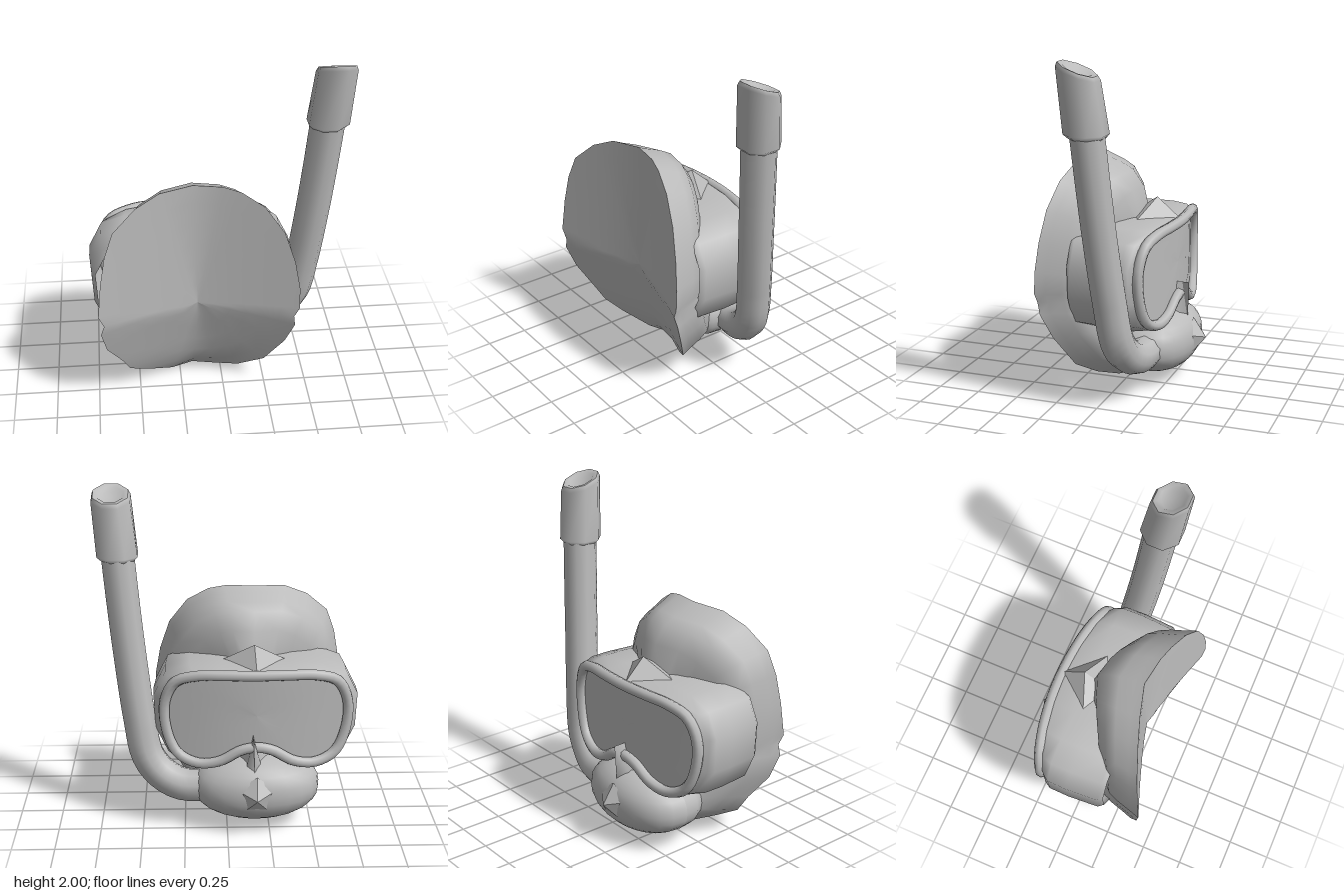
import * as THREE from 'three';

const grey = new THREE.MeshStandardMaterial({ color: 0xbbbbbb, side: THREE.DoubleSide });
grey.name = 'grey rubber';

// Skin a list of equal-length closed rings of [x, y, z] points
function loft(rings) {
  const n = rings[0].length, index = [];
  for (let r = 0; r < rings.length - 1; r++) {
    for (let i = 0; i < n; i++) {
      const a = r * n + i, b = r * n + (i + 1) % n;
      index.push(a, b, a + n, b, b + n, a + n);
    }
  }
  const g = new THREE.BufferGeometry();
  g.setAttribute('position', new THREE.Float32BufferAttribute(rings.flat(2), 3));
  g.setIndex(index);
  g.computeVertexNormals();
  return g;
}

// Piecewise-linear lookup in a list of [key, value]
function lookup(table, k) {
  for (let i = 1; i < table.length; i++) {
    const [k0, v0] = table[i - 1], [k1, v1] = table[i];
    if (k <= k1) return v0 + (v1 - v0) * Math.max(0, (k - k0) / (k1 - k0));
  }
  return table[table.length - 1][1];
}

export function createModel() {
  const model = new THREE.Group();
  const add = (name, geometry) => {
    const mesh = new THREE.Mesh(geometry, grey);
    mesh.name = name;
    model.add(mesh);
    return mesh;
  };

  // Outline of the face seal
  const rim = [
    [-0.17, 1.36], [0, 1.355], [0.1, 1.33], [0.23, 1.25], [0.34, 1.1], [0.4, 0.92], [0.43, 0.75],
    [0.43, 0.62], [0.4, 0.56], [0.41, 0.49], [0.36, 0.34], [0.25, 0.15], [0.1, 0.06], [-0.03, 0.01],
    [-0.17, 0], [-0.3, 0.02], [-0.45, 0.09], [-0.56, 0.15], [-0.6, 0.24], [-0.69, 0.38], [-0.72, 0.52],
    [-0.7, 0.58], [-0.73, 0.65], [-0.71, 0.85], [-0.68, 1.02], [-0.63, 1.16], [-0.5, 1.28], [-0.36, 1.345],
  ];
  const cx = -0.15, cy = 0.6;
  const middle = [[0, 0.01], [0.03, 0.08], [0.2, 0.155], [0.56, 0.26], [1.36, 0.23]];
  // Saddle-shaped depth: hollow in the middle, swept forward at both sides
  const faceZ = (x, y) => {
    const u = (x - cx) / 0.575;
    return lookup(middle, y) + (u < 0 ? 0.185 : 0.15) * Math.abs(u) ** 1.2;
  };
  add('faceSeal', loft([1, 0.85, 0.68, 0.5, 0.33, 0.16, 0].map((s) => rim.map(([x, y]) => {
    const px = cx + (x - cx) * s, py = cy + (y - cy) * s;
    return [px, py, faceZ(px, py)];
  }))));

  // Skirt bulging back from the seal
  const skirt = [[1, 0], [0.965, 0.06], [0.92, 0.15], [0.87, 0.22], [0.74, 0.29], [0.4, 0.35], [0, 0.36]];
  add('skirt', loft(skirt.map(([s, d]) => rim.map(([x, y]) =>
    [cx + (x - cx) * s, cy + (y - cy) * s, faceZ(x, y) - d]))));

  // Goggle outline with a nose arch, mirrored about its centre line
  const mx = -0.17, my = 0.72;
  const half = [[0, 1.0], [0.2, 1.0], [0.38, 0.99], [0.52, 0.94], [0.59, 0.8], [0.58, 0.6],
    [0.51, 0.45], [0.38, 0.39], [0.24, 0.41], [0.1, 0.49], [0, 0.51]];
  const outline = [...half, ...half.slice(1, -1).reverse().map(([x, y]) => [-x, y])];
  const lensZ = (dx) => -0.285 + 0.1 * (dx / 0.58) ** 2;
  const goggleRing = (s, z) => outline.map(([x, y]) =>
    [mx + x * s, my + (y - my) * s, typeof z === 'number' ? z : z(x * s)]);

  add('goggleBody', loft([
    goggleRing(0.96, 0.22), goggleRing(1, 0.19), goggleRing(1.02, 0), goggleRing(1.015, -0.12),
    goggleRing(0.98, (x) => lensZ(x) + 0.035), goggleRing(0.9, (x) => lensZ(x) + 0.005),
  ]));
  add('lens', loft([0.9, 0.6, 0.3, 0].map((s) => goggleRing(s, (x) => lensZ(x) + 0.015))));
  const rimCurve = new THREE.CatmullRomCurve3(
    goggleRing(0.9, lensZ).map((p) => new THREE.Vector3(...p)), true);
  add('lensRim', new THREE.TubeGeometry(rimCurve, 80, 0.032, 8, true));

  // Pointed ridge over the top of the goggle
  const peak = [[-0.38, 0.98, -0.06], [mx, 0.97, -0.3], [0.06, 0.98, -0.06], [mx, 0.98, 0.05]];
  add('browPeak', loft([peak, peak.map(() => [mx + 0.01, 1.11, -0.14])]).toNonIndexed())
    .geometry.computeVertexNormals();

  // Rounded mouthpiece housing below the goggle
  const housing = new THREE.SphereGeometry(1, 24, 16);
  const p = housing.attributes.position;
  const swell = (v, e) => Math.sign(v) * Math.abs(v) ** e;
  for (let i = 0; i < p.count; i++) {
    p.setXYZ(i, mx + 0.38 * p.getX(i), 0.25 + 0.2 * swell(p.getY(i), 0.9), -0.13 + 0.27 * swell(p.getZ(i), 0.8));
  }
  housing.computeVertexNormals();
  add('mouthpieceHousing', housing);

  // Faceted valve point
  const valve = new THREE.ConeGeometry(0.12, 0.08, 5).toNonIndexed();
  valve.computeVertexNormals();
  valve.rotateX(-Math.PI / 2);
  add('valve', valve).position.set(mx, 0.26, -0.41);

  // Breathing tube
  const path = new THREE.CatmullRomCurve3([
    [0.08, 0.25, -0.18], [0.27, 0.25, -0.16], [0.39, 0.31, -0.13], [0.47, 0.42, -0.11], [0.515, 0.65, -0.085],
    [0.56, 1.0, -0.05], [0.592, 1.3, -0.025], [0.622, 1.62, 0],
  ].map((v) => new THREE.Vector3(...v)));
  add('snorkelTube', new THREE.TubeGeometry(path, 36, 0.1, 10, false));

  // Sleeve with a slanted, dished top
  const circle = (x, y, z, r, slope) => Array.from({ length: 8 }, (_, i) => {
    const a = (i + 0.5) * Math.PI / 4;
    return [x + r * Math.cos(a), y + slope * r * Math.sin(a), z + r * Math.sin(a)];
  });
  add('snorkelSleeve', loft([
    circle(0.62, 1.585, 0, 0.1, 0), circle(0.622, 1.61, 0.003, 0.126, 0),
    circle(0.653, 1.935, 0.034, 0.12, 0.35), circle(0.655, 1.96, 0.036, 0.108, 0.38),
  ]));
  add('snorkelTop', loft([
    circle(0.655, 1.96, 0.036, 0.108, 0.38), circle(0.655, 1.955, 0.036, 0.08, 0.38),
    circle(0.655, 1.935, 0.036, 0.06, 0.38), circle(0.655, 1.935, 0.036, 0, 0),
  ]));

  return model;
}
